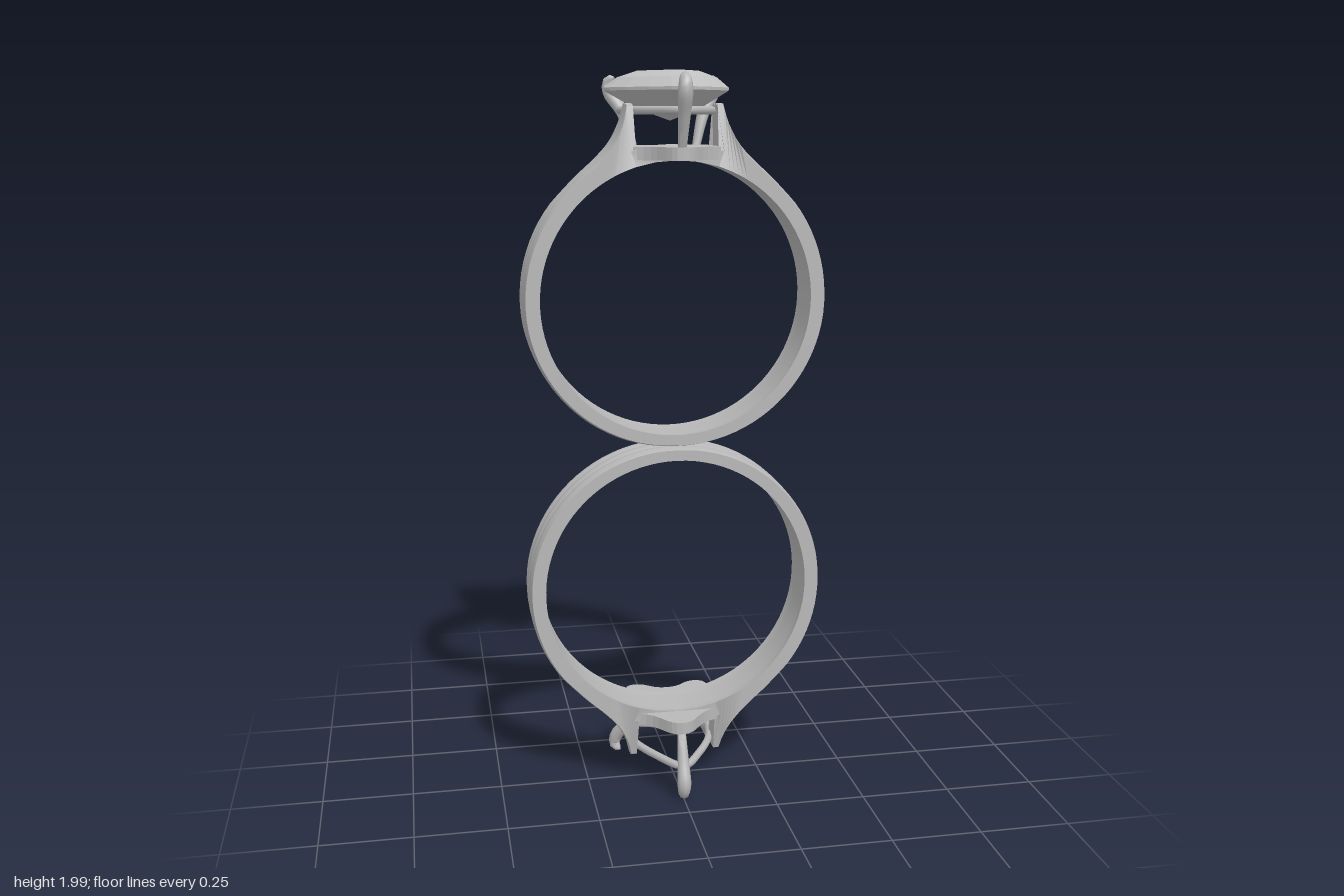
import * as THREE from 'three';
import { toCreasedNormals } from 'three/addons/utils/BufferGeometryUtils.js';

const V = (x, y, z) => new THREE.Vector3(x, y, z);
const CY = 1.403, INNER = 0.367;

// Skin a list of closed cross-sections; wrap joins the last one to the first
function loft(rings, wrap) {
  const m = rings[0].length, n = rings.length, index = [];
  for (let i = 0; i < (wrap ? n : n - 1); i++) {
    for (let j = 0; j < m; j++) {
      const a = i * m + j, b = i * m + (j + 1) % m;
      const c = ((i + 1) % n) * m + j, d = ((i + 1) % n) * m + (j + 1) % m;
      index.push(a, c, b, b, c, d);
    }
  }
  const g = new THREE.BufferGeometry();
  g.setAttribute('position', new THREE.Float32BufferAttribute(rings.flat().flatMap(p => [p.x, p.y, p.z]), 3));
  g.setIndex(index);
  return g;
}

// Band: stations run from the top round one side, then mirrored back up
function bandGeometry() {
  const st = [[0, 0, 1.81], [9, 0.07, 1.806], [17, 0.126, 1.8], [17.4, 0.114, 1.915]];
  const shoulder = new THREE.SplineCurve([[0.13, 1.915], [0.142, 1.868], [0.168, 1.815], [0.207, 1.772], [0.257, 1.727], [0.305, 1.678]]
    .map(p => new THREE.Vector2(...p)));
  for (let i = 0; i <= 14; i++) {
    const p = shoulder.getPoint(i / 14);
    st.push([18 + 30 * i / 14, p.x, p.y]);
  }
  for (let i = 1; i <= 33; i++) {
    const deg = 48 + 4 * i, a = deg * Math.PI / 180;
    const r = deg < 100 ? 0.412 : 0.412 - 0.009 * (deg - 100) / 80;
    st.push([deg, r * Math.sin(a), CY + r * Math.cos(a)]);
  }
  const left = st.slice(1, -1).reverse().map(([d, x, y]) => [-d, -x, y]);
  // Outer face has a raised centre between two shallow grooves
  const outer = [[1, -0.007], [0.7, -0.001], [0.5, -0.001], [0.32, -0.007], [0.14, 0], [-0.14, 0],
    [-0.32, -0.007], [-0.5, -0.001], [-0.7, -0.001], [-1, -0.007]];
  const inner = [[-1, 0], [-0.5, 0.004], [0, 0], [0.5, 0.004], [1, 0]];
  const rings = [...st, ...left].map(([deg, x, y]) => {
    const a = deg * Math.PI / 180, r = Math.hypot(x, y - CY);
    const w = 0.069 - 0.034 * Math.max(0, Math.min(1, (y - 1.81) / 0.105));
    return [
      ...outer.map(([t, o]) => V(x * (1 + o / r), CY + (y - CY) * (1 + o / r), t * w)),
      ...inner.map(([t, o]) => V((INNER + o) * Math.sin(a), CY + (INNER + o) * Math.cos(a), t * 0.069)),
    ];
  });
  return toCreasedNormals(loft(rings, true), 0.6);
}

// Solid platform carrying the prongs
function platformGeometry() {
  const s = new THREE.Shape();
  s.moveTo(0, 0.152);
  s.bezierCurveTo(0.05, 0.152, 0.045, 0.085, 0.115, 0.066);
  s.lineTo(0.12, -0.066);
  s.bezierCurveTo(0.122, -0.1, 0.13, -0.14, 0.09, -0.143);
  s.bezierCurveTo(0.05, -0.143, 0.05, -0.105, 0, -0.105);
  s.bezierCurveTo(-0.05, -0.105, -0.05, -0.143, -0.09, -0.143);
  s.bezierCurveTo(-0.13, -0.14, -0.122, -0.1, -0.12, -0.066);
  s.lineTo(-0.115, 0.066);
  s.bezierCurveTo(-0.045, 0.085, -0.05, 0.152, 0, 0.152);
  const g = new THREE.ExtrudeGeometry(s, { depth: 0.034, bevelEnabled: false, curveSegments: 8 });
  return g.rotateX(Math.PI / 2).translate(0, 1.805, 0);
}

// Claw: a tube that swells below its hooked, pointed tip
function prongGeometry(points) {
  const n = 18, sides = 8, curve = new THREE.CatmullRomCurve3(points);
  const g = new THREE.TubeGeometry(curve, n, 1, sides, false), pos = g.attributes.position;
  const radius = t => t < 0.7 ? 0.011 + 0.009 * t / 0.7 : 0.02 * Math.sqrt(Math.max(0, 1 - ((t - 0.7) / 0.3) ** 2));
  for (let i = 0; i <= n; i++) {
    const c = curve.getPointAt(i / n), r = radius(i / n);
    for (let j = 0; j <= sides; j++) {
      const k = i * (sides + 1) + j, v = V(0, 0, 0).fromBufferAttribute(pos, k).sub(c).multiplyScalar(r).add(c);
      pos.setXYZ(k, v.x, v.y, v.z);
    }
  }
  return toCreasedNormals(g, 0.9);
}

// Wire rail tying the prongs together
function railGeometry() {
  const half = [[0.06, 0.085], [0.113, -0.03], [0.115, -0.142]];
  const pts = [[0, 0.16], ...half, [0, -0.125], ...half.map(([x, z]) => [-x, z]).reverse()];
  const curve = new THREE.CatmullRomCurve3(pts.map(([x, z]) => V(x, 1.897, z)), true);
  return new THREE.TubeGeometry(curve, 48, 0.011, 8, true);
}

// Faceted heart stone: culet, girdle, crown, table
function gemGeometry() {
  const half = [[0.035, -0.183], [0.075, -0.191], [0.125, -0.178], [0.16, -0.142], [0.171, -0.1], [0.162, -0.055],
    [0.128, 0.015], [0.08, 0.09], [0.032, 0.152]];
  const heart = [[0, -0.16], ...half, [0, 0.182], ...half.map(([x, z]) => [-x, z]).reverse()];
  const cz = -0.045;
  const ring = (s, y) => heart.map(([x, z]) => V(x * s, y, cz + (z - cz) * s));
  const g = loft([ring(0.001, 1.87), ring(0.55, 1.905), ring(1, 1.948), ring(1, 1.956), ring(0.8, 1.982),
    ring(0.5, 1.999), ring(0.001, 2)], false).toNonIndexed();
  g.computeVertexNormals();
  return g;
}

// Mirror a part top to bottom, keeping its faces outward
function flipped(geo) {
  const g = geo.index ? geo.toNonIndexed() : geo.clone();
  g.scale(1, -1, 1).translate(0, 2, 0);
  for (const name of ['position', 'normal']) {
    const a = g.attributes[name].array;
    for (let i = 0; i < a.length; i += 9) {
      for (let k = 3; k < 6; k++) [a[i + k], a[i + k + 3]] = [a[i + k + 3], a[i + k]];
    }
  }
  return g;
}

export function createModel() {
  const metal = new THREE.MeshStandardMaterial({ color: 0xb8b8b8 });
  metal.name = 'silver metal';
  const stone = new THREE.MeshStandardMaterial({ color: 0xc2c2c2 });
  stone.name = 'pale stone';

  const backProng = s => prongGeometry([V(s * 0.085, 1.79, -0.125), V(s * 0.112, 1.89, -0.148),
    V(s * 0.143, 1.945, -0.175), V(s * 0.147, 1.972, -0.176), V(s * 0.132, 1.985, -0.158)]);
  const parts = {
    band: bandGeometry(),
    platform: platformGeometry(),
    rail: railGeometry(),
    frontProng: prongGeometry([V(0, 1.79, 0.125), V(0, 1.89, 0.157), V(0, 1.945, 0.175), V(0, 1.974, 0.171), V(0, 1.988, 0.148)]),
    backLeftProng: backProng(1),
    backRightProng: backProng(-1),
  };

  const model = new THREE.Group();
  model.name = 'pairOfRings';
  const upper = new THREE.Group(), lower = new THREE.Group();
  upper.name = 'upperRing';
  lower.name = 'lowerRing';
  model.add(upper, lower);
  const add = (group, name, geo, mat) => {
    const mesh = new THREE.Mesh(geo, mat);
    mesh.name = name;
    group.add(mesh);
  };
  for (const [name, geo] of Object.entries(parts)) {
    add(upper, name, geo, metal);
    add(lower, name, flipped(geo), metal);
  }
  add(upper, 'heartStone', gemGeometry(), stone);
  return model;
}
